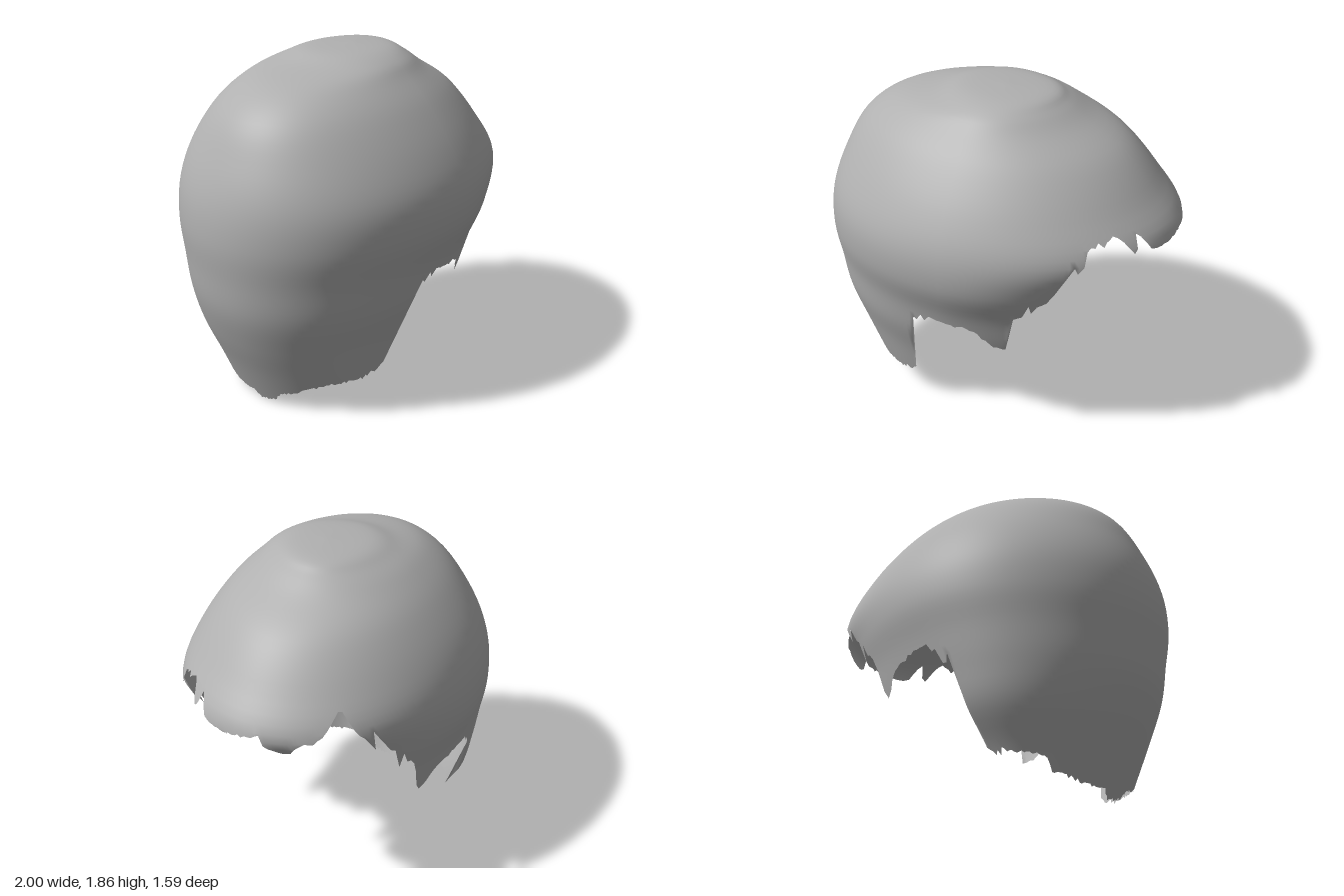
import * as THREE from 'three';
import { mergeVertices } from 'three/addons/utils/BufferGeometryUtils.js';

// Cross-sections from crown to nape: y, xMin, xMax, zMax, zMin, centre x
const SECTIONS = [
  [1.858, 0.04, 0.04, 0.04, 0.04, 0.04],
  [1.845, -0.2, 0.27, 0.23, -0.18, 0.03],
  [1.8, -0.36, 0.36, 0.35, -0.3, 0.01],
  [1.73, -0.62, 0.47, 0.43, -0.42, 0],
  [1.6, -0.8, 0.69, 0.56, -0.56, 0],
  [1.4, -0.91, 0.87, 0.7, -0.7, 0],
  [1.2, -0.98, 1.0, 0.785, -0.775, 0],
  [1.0, -1.0, 0.86, 0.785, -0.79, 0],
  [0.8, -0.98, 0.8, 0.715, -0.75, -0.05],
  [0.6, -0.95, 0.78, 0.66, -0.71, -0.1],
  [0.4, -0.88, 0.7, 0.58, -0.66, -0.15],
  [0.2, -0.79, 0.6, 0.51, -0.55, -0.21],
  [0.0, -0.7, 0.5, 0.44, -0.46, -0.25],
];

// Hem height over each ear, by x
const SIDE_HEM = [
  [-0.45, 0.17], [-0.35, 0.19], [-0.28, 0.25], [-0.26, 0.4], [-0.25, 0.6], [-0.2, 0.71], [-0.1, 0.76],
  [0.05, 0.74], [0.14, 0.72], [0.23, 0.6], [0.28, 0.61], [0.35, 0.8], [0.45, 0.92], [0.6, 1.09],
  [0.7, 1.22], [0.74, 1.3],
];
// Hem height across the brow, by z
const BROW_HEM = [
  [-0.55, 1.28], [-0.5, 1.34], [-0.47, 1.29], [-0.42, 1.38], [-0.38, 1.24], [-0.34, 1.2], [-0.28, 1.19],
  [-0.22, 1.12], [-0.12, 1.15], [-0.1, 1.23], [0, 1.21], [0.12, 1.19], [0.24, 1.2], [0.29, 1.31],
  [0.34, 1.21], [0.39, 1.33], [0.45, 1.28],
];
// Hem height across the nape, by z
const NAPE_HEM = [
  [-0.48, 0.17], [-0.4, 0.15], [-0.35, 0.08], [-0.2, 0.05], [-0.06, 0.045], [-0.03, 0], [0.08, 0.03],
  [0.12, 0.08], [0.36, 0.17], [0.45, 0.17],
];

function lookup(table, v) {
  if (v <= table[0][0]) return table[0][1];
  for (let i = 1; i < table.length; i++) {
    const [a, ya] = table[i - 1], [b, yb] = table[i];
    if (v <= b) return ya + (yb - ya) * (v - a) / (b - a);
  }
  return table[table.length - 1][1];
}

function hemHeight(x, z, jag) {
  if (x > 0.74) return lookup(BROW_HEM, z) + jag * 0.008;
  if (x < -0.45) return lookup(NAPE_HEM, z) + jag * 0.008;
  return lookup(SIDE_HEM, x + jag * 0.025) + jag * 0.02;
}

// Smooth interpolation through the cross-sections
function section(t) {
  const last = SECTIONS.length - 1;
  const i = Math.min(Math.floor(t), last - 1), f = t - i;
  const at = (k) => SECTIONS[Math.max(0, Math.min(last, k))];
  return SECTIONS[0].map((_, n) => {
    const a = at(i - 1)[n], b = at(i)[n], c = at(i + 1)[n], d = at(i + 2)[n];
    return b + 0.5 * f * (c - a + f * (2 * a - 5 * b + 4 * c - d + f * (3 * (b - c) + d - a)));
  });
}

function surfacePoint(angle, t) {
  const [y, xMin, xMax, zMax, zMin, centre] = section(t);
  const c = Math.cos(angle), s = Math.sin(angle);
  // The far side is fullest slightly behind the middle
  const cx = centre - (s < 0 ? 0.1 * s * s * Math.min(1, t / 5) : 0);
  const cz = 0.04 * Math.max(0, 1 - t);
  // Slightly more pointed toward the fringe
  const power = 2 / (c > 0 ? 1.92 : 2.03);
  const x = cx + (c > 0 ? xMax - cx : xMin - cx) * Math.pow(Math.abs(c), power);
  const z = cz + (s > 0 ? zMax - cz : zMin - cz) * Math.pow(Math.abs(s), power);
  return [x, y, z];
}

function hairGeometry(columns, step) {
  let seed = 7;
  const random = () => (seed = (seed * 16807) % 2147483647) / 2147483647;
  const last = SECTIONS.length - 1, rows = Math.round(last / step);
  const positions = [], index = [], ends = [];
  for (let i = 0; i < columns; i++) {
    const angle = (i / columns) * Math.PI * 2;
    const jag = random() * 2 - 1;
    // Walk down the column until it meets the ragged hem
    let end = 0;
    while (end < last) {
      const [x, y, z] = surfacePoint(angle, end);
      if (y < hemHeight(x, z, jag)) break;
      end += 0.02;
    }
    end = Math.min(end, last);
    ends.push(end);
    for (let j = 0; j <= rows; j++) positions.push(...surfacePoint(angle, Math.min(j * step, end)));
  }
  const id = (i, j) => (i % columns) * (rows + 1) + j;
  for (let i = 0; i < columns; i++) {
    const endA = ends[i], endB = ends[(i + 1) % columns];
    for (let j = 0; j < rows; j++) {
      const a = id(i, j), b = id(i, j + 1), c = id(i + 1, j), d = id(i + 1, j + 1);
      // Skip faces collapsed at the crown or past the hem
      if (j > 0 && j * step < endA) index.push(a, c, b);
      if (j * step < endB) index.push(c, d, b);
    }
  }
  const geometry = new THREE.BufferGeometry();
  geometry.setAttribute('position', new THREE.Float32BufferAttribute(positions, 3));
  geometry.setIndex(index);
  const merged = mergeVertices(geometry, 1e-5);
  merged.computeVertexNormals();
  return merged;
}

export function createModel() {
  const group = new THREE.Group();
  group.name = 'hairpiece';
  const hair = new THREE.MeshStandardMaterial({ color: 0xb0b0b0, side: THREE.DoubleSide });
  hair.name = 'hair grey';

  // Open shell of hair with a ragged hem
  const shell = new THREE.Mesh(hairGeometry(240, 0.2), hair);
  shell.name = 'hairShell';
  group.add(shell);
  return group;
}
